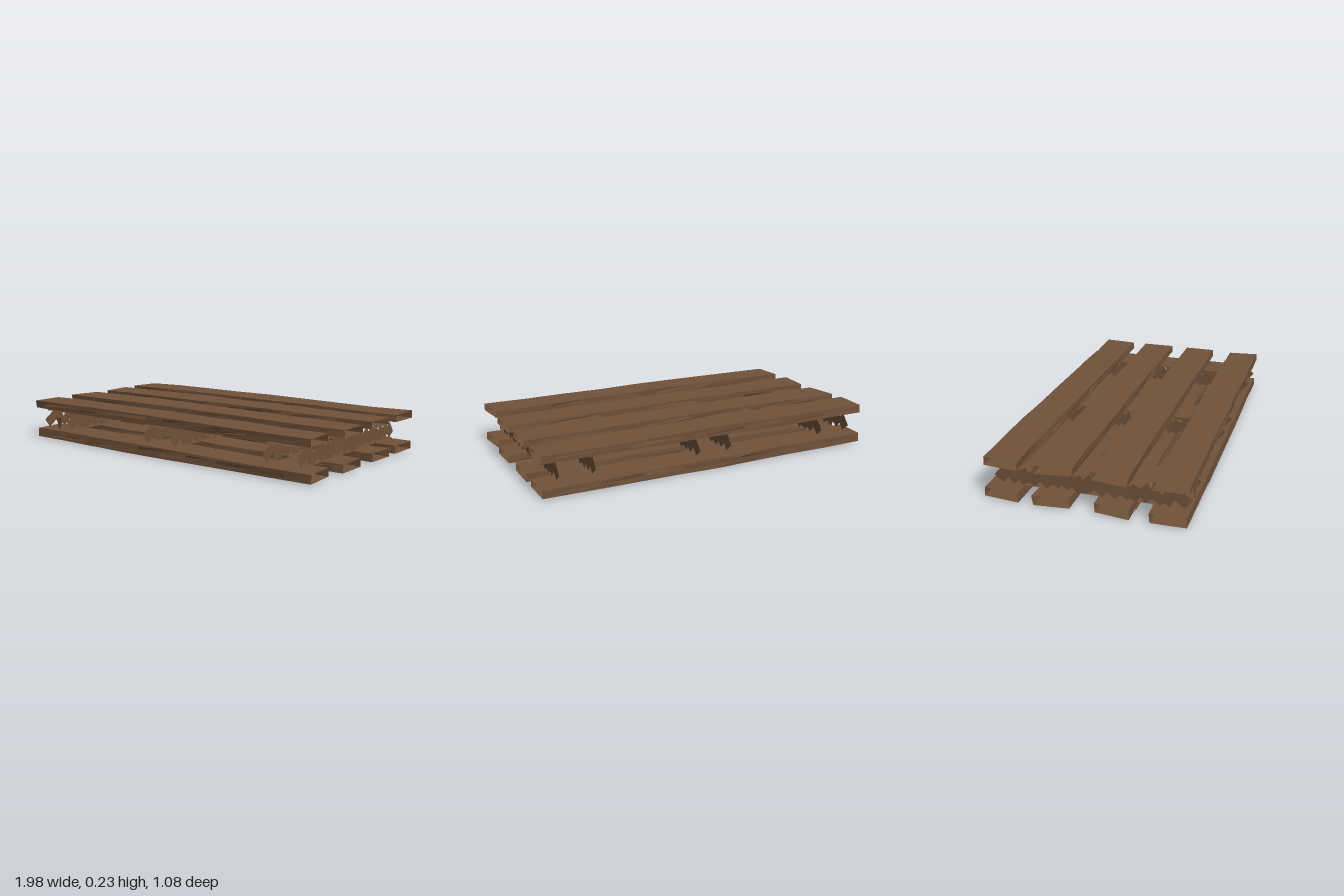
import * as THREE from 'three';

// Small seeded generator for the splintered edges
function seeded(seed) {
  let s = seed * 7919 + 17;
  return () => {
    s = (s * 16807) % 2147483647;
    return s / 2147483647;
  };
}

// Flat-faced geometry from a list of quads (corners counter-clockwise from outside)
function fromQuads(quads) {
  const pos = [];
  for (const [a, b, c, d] of quads) pos.push(...a, ...b, ...c, ...a, ...c, ...d);
  const geo = new THREE.BufferGeometry();
  geo.setAttribute('position', new THREE.Float32BufferAttribute(pos, 3));
  geo.computeVertexNormals();
  return geo;
}

// Hollow, open-ended board; ends = x at [back left, front left, back right, front right]
function plankGeometry(zBack, zFront, yLow, yHigh, ends, seed) {
  const rnd = seeded(seed);
  const j = (a) => (rnd() - 0.5) * 2 * a;
  const n = 8;
  const quads = [];
  const rings = [];
  for (let i = 0; i <= n; i++) {
    const t = i / n;
    const xb = THREE.MathUtils.lerp(ends[0], ends[2], t);
    const xf = THREE.MathUtils.lerp(ends[1], ends[3], t);
    const bow = 0.003 * Math.cos((t - 0.35) * 5);
    rings.push({
      tb: [xb, yHigh + bow + j(0.002), zBack + j(0.005)],
      tf: [xf, yHigh + bow + j(0.002), zFront + j(0.005)],
      bb: [xb, yLow - bow + j(0.002), zBack + j(0.005)],
      bf: [xf, yLow - bow + j(0.002), zFront + j(0.005)],
    });
  }
  for (let i = 0; i < n; i++) {
    const p = rings[i], q = rings[i + 1];
    quads.push([p.tf, q.tf, q.tb, p.tb], [p.bb, q.bb, q.bf, p.bf]);
    quads.push([p.bf, q.bf, q.tf, p.tf], [q.bb, p.bb, p.tb, q.tb]);
  }
  // Long slanted splinters along both edges
  for (const [z, side] of [[zBack, -1], [zFront, 1]]) {
    for (let i = 0; i < 9; i++) {
      const x = -0.93 + i * 0.19 + j(0.03), len = 0.2 + rnd() * 0.14;
      const x1 = Math.min(x + len, 0.98);
      const y = yLow + 0.004 + rnd() * (yHigh - yLow - 0.024);
      const out = () => z + side * (0.001 + rnd() * 0.01);
      const q = [[x, y, out()], [x1, y + j(0.008), out()],
        [x1 - 0.02, y + 0.018, out()], [x + 0.03, y + 0.012 + rnd() * 0.01, out()]];
      quads.push(side > 0 ? q : q.reverse());
    }
  }
  return fromQuads(quads);
}

// Runner: thin top and bottom faces, with side walls of tilted overlapping chips
function runnerGeometry(x0, x1) {
  const yLow = 0.075, yHigh = 0.185, zBack = -0.5, zFront = 0.52;
  const quads = [
    [[x0, yHigh, zFront], [x1, yHigh, zFront], [x1, yHigh, zBack], [x0, yHigh, zBack]],
    [[x0, yLow, zBack], [x1, yLow, zBack], [x1, yLow, zFront], [x0, yLow, zFront]],
  ];
  for (const [x, side] of [[x0, -1], [x1, 1]]) {
    const rnd = seeded(5);
    for (let i = 0; i < 17; i++) {
      const cz = -0.455 + i * 0.058, cy = 0.13 + (rnd() - 0.5) * 0.035;
      const angle = (i % 3 === 0 ? -1 : 1) * (0.45 + rnd() * 0.5);
      const hl = 0.038 + rnd() * 0.014, hw = 0.03 + rnd() * 0.01;
      const tilt = (rnd() - 0.5) * 0.08;
      const q = [[-hw, -hl], [-hw, hl], [hw, hl], [hw, -hl]].map(([u, v]) => {
        const dz = u * Math.cos(angle) - v * Math.sin(angle);
        const dy = u * Math.sin(angle) + v * Math.cos(angle);
        const y = THREE.MathUtils.clamp(cy + dy, yLow, yHigh);
        return [x + side * (0.002 + tilt * dy), y, cz + dz];
      });
      quads.push(side > 0 ? q : q.reverse());
    }
  }
  return fromQuads(quads);
}

export function createModel() {
  const group = new THREE.Group();
  group.name = 'pallet';
  const wood = new THREE.MeshStandardMaterial({ color: 0x70523a, side: THREE.DoubleSide });
  wood.name = 'brown wood';
  const add = (name, geo) => {
    const mesh = new THREE.Mesh(geo, wood);
    mesh.name = name;
    group.add(mesh);
  };

  // Deck boards, back to front
  const ends = [
    [-0.97, -0.99, 0.985, 0.98],
    [-0.99, -0.97, 0.98, 0.975],
    [-0.97, -0.995, 0.975, 0.975],
    [-0.99, -0.985, 0.95, 0.965],
  ];
  const topZ = [[-0.53, -0.34], [-0.25, -0.06], [0.04, 0.23], [0.35, 0.53]];
  const bottomZ = [[-0.53, -0.345], [-0.265, -0.08], [0.05, 0.235], [0.335, 0.52]];
  topZ.forEach(([a, b], i) => add('topPlank' + (i + 1), plankGeometry(a, b, 0.193, 0.239, ends[i], i + 1)));
  bottomZ.forEach(([a, b], i) => add('bottomPlank' + (i + 1), plankGeometry(a, b, 0.015, 0.066, ends[i], i + 11)));

  // Three runners between the decks
  add('rightRunner', runnerGeometry(-0.91, -0.72));
  add('middleRunner', runnerGeometry(-0.1, 0.09));
  add('leftRunner', runnerGeometry(0.695, 0.885));

  // Loose wedge left on the front of one runner
  add('endSplinter', fromQuads([
    [[-0.8, 0.075, 0.515], [-0.785, 0.09, 0.515], [-0.77, 0.15, 0.52], [-0.83, 0.145, 0.51]],
  ]));

  return group;
}
